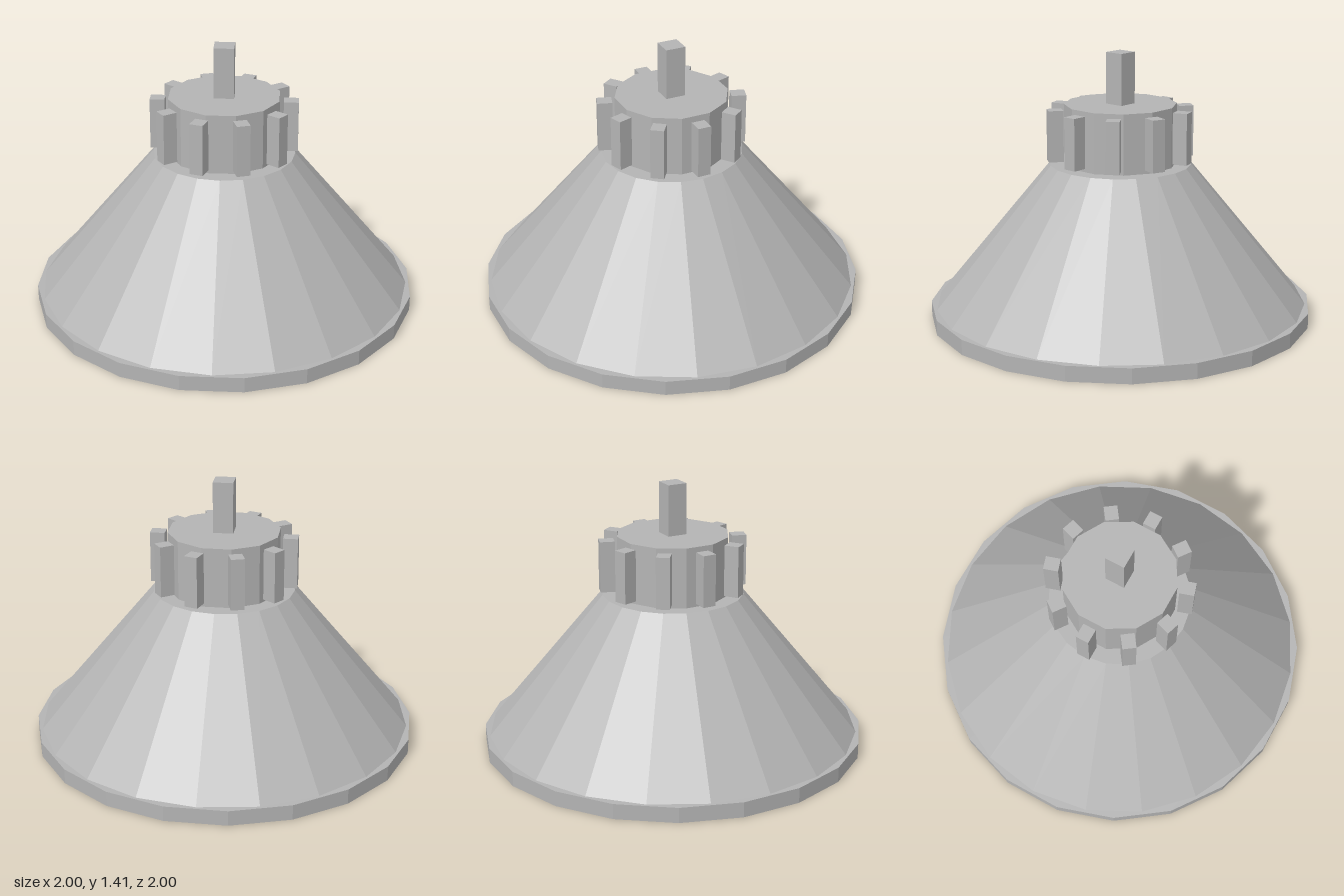
import * as THREE from 'three';

export function createModel() {
  const model = new THREE.Group();
  const grey = new THREE.MeshStandardMaterial({ color: 0xb4b4b4, flatShading: true });
  grey.name = 'grey metal';

  const add = (name, geometry, y, parent = model) => {
    const mesh = new THREE.Mesh(geometry, grey);
    mesh.name = name;
    mesh.position.y = y;
    parent.add(mesh);
    return mesh;
  };

  // Open ring round the mouth, turned half a facet against the shade
  const polygon = (Type, radius, sides) => {
    const path = new Type();
    for (let i = 0; i < sides; i++) {
      const a = ((i + 0.5) / sides) * Math.PI * 2;
      const x = radius * Math.cos(a), y = radius * Math.sin(a);
      if (i) path.lineTo(x, y); else path.moveTo(x, y);
    }
    path.closePath();
    return path;
  };
  const ring = polygon(THREE.Shape, 1.0125, 20);
  ring.holes.push(polygon(THREE.Path, 0.875, 20));
  const rim = new THREE.ExtrudeGeometry(ring, { depth: 0.08, bevelEnabled: false });
  rim.rotateX(-Math.PI / 2);
  add('rim', rim, 0);

  // Conical shade, closed underneath by the flat lens
  add('shade', new THREE.CylinderGeometry(0.372, 0.985, 0.75, 20), 0.455);

  // Twelve-sided housing and the square mounting post
  const housing = new THREE.CylinderGeometry(0.295, 0.295, 0.315, 12);
  housing.rotateY(Math.PI / 12);
  add('housing', housing, 0.9875);
  add('mountingPost', new THREE.BoxGeometry(0.105, 0.27, 0.105), 1.28);

  // Ten cooling fins round the housing
  const fins = new THREE.Group();
  fins.name = 'coolingFins';
  model.add(fins);
  const fin = new THREE.BoxGeometry(0.077, 0.27, 0.07);
  for (let i = 0; i < 10; i++) {
    const a = (i / 10) * Math.PI * 2;
    const mesh = add('coolingFin', fin, 0.99, fins);
    mesh.position.x = 0.346 * Math.cos(a);
    mesh.position.z = -0.346 * Math.sin(a);
    mesh.rotation.y = a;
  }
  return model;
}
